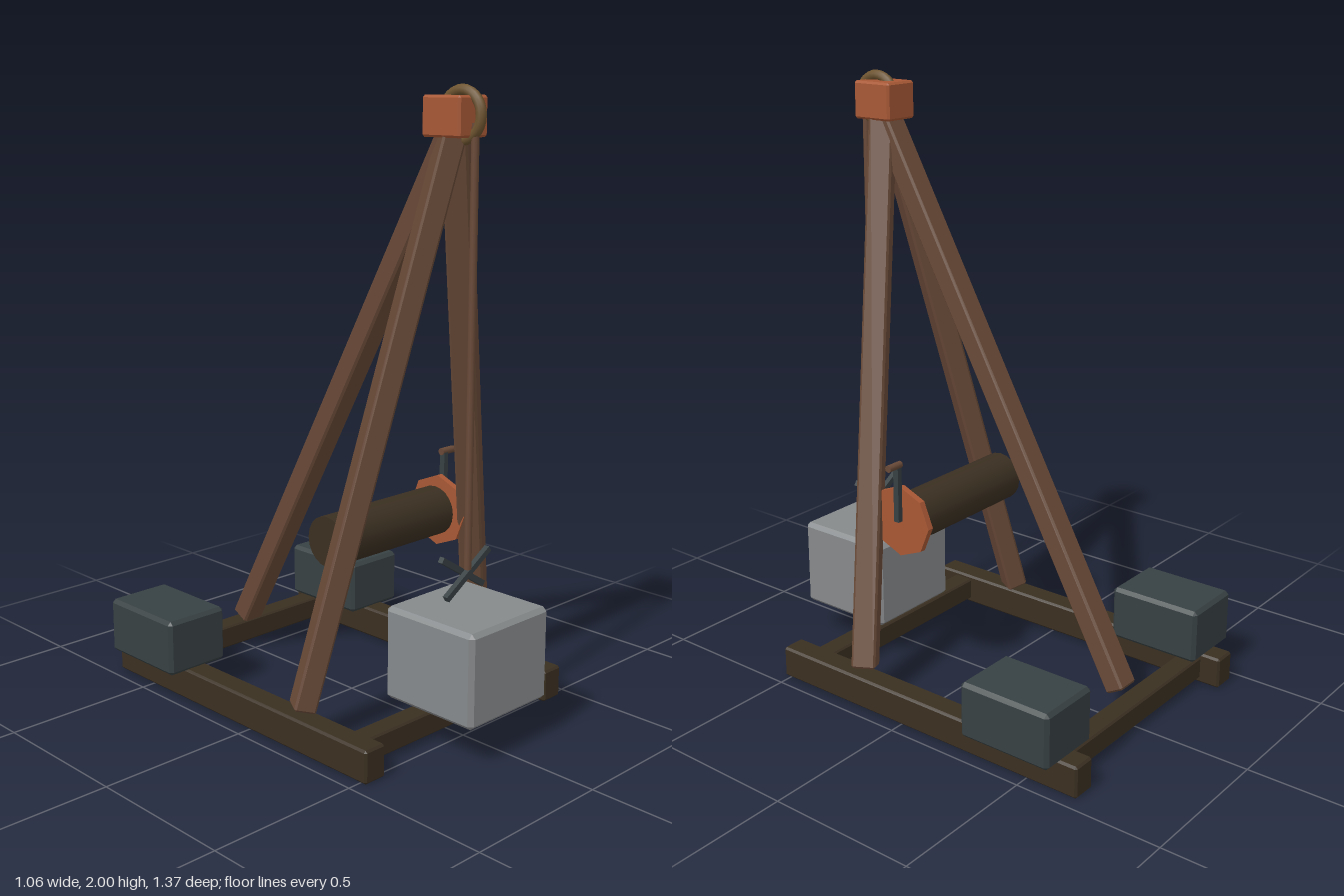
import * as THREE from 'three';
import { ConvexGeometry } from 'three/addons/geometries/ConvexGeometry.js';

function material(name, color) {
  const m = new THREE.MeshStandardMaterial({ color });
  m.name = name;
  return m;
}

// Box with flat chamfers along every edge
function chamferBox(w, h, d, c) {
  const points = [];
  for (const x of [-1, 1]) for (const y of [-1, 1]) for (const z of [-1, 1]) {
    for (let axis = 0; axis < 3; axis++) {
      const half = [w / 2, h / 2, d / 2].map((s, i) => (i === axis ? s : s - c));
      points.push(new THREE.Vector3(x * half[0], y * half[1], z * half[2]));
    }
  }
  return new ConvexGeometry(points);
}

export function createModel() {
  const darkWood = material('dark wood', 0x3a2f21);
  const legWood = material('brown wood', 0x684937);
  const copper = material('reddish brown', 0xa85835);
  const iron = material('dark iron', 0x374042);
  const stone = material('grey stone', 0x86898b);
  const brass = material('dull brass', 0x6e5430);

  const model = new THREE.Group();

  function add(name, geometry, mat, x = 0, y = 0, z = 0) {
    const mesh = new THREE.Mesh(geometry, mat);
    mesh.name = name;
    mesh.position.set(x, y, z);
    model.add(mesh);
    return mesh;
  }

  // Square beam running between two points, its sides kept level
  function beam(name, from, to, w, d) {
    const a = new THREE.Vector3(...from), b = new THREE.Vector3(...to);
    const mesh = add(name, chamferBox(w, d, a.distanceTo(b), 0.007), legWood);
    mesh.position.copy(a).lerp(b, 0.5);
    mesh.lookAt(b);
    return mesh;
  }

  // Cylinder lying along x
  function axle(name, r, length, sides, mat, x, y, z) {
    const mesh = add(name, new THREE.CylinderGeometry(r, r, length, sides), mat, x, y, z);
    mesh.rotation.z = Math.PI / 2;
    return mesh;
  }

  // Base frame, counterweights and front legs
  for (const [side, s] of [['left', 1], ['right', -1]]) {
    add(side + 'Rail', chamferBox(0.083, 0.107, 1.21, 0.007), darkWood, s * 0.415, 0.0535, -0.08);
    add(side + 'Counterweight', chamferBox(0.228, 0.185, 0.327, 0.012), iron, s * 0.414, 0.197, -0.466);
    beam(side + 'FrontLeg', [s * 0.405, 0.12, 0.197], [0, 1.9, 0.43], 0.08, 0.072);
  }
  add('frontCrossbeam', chamferBox(0.76, 0.078, 0.075, 0.006), darkWood, 0, 0.055, 0.415);
  add('backCrossbeam', chamferBox(0.76, 0.078, 0.075, 0.006), darkWood, 0, 0.055, -0.576);
  beam('backLeg', [0, 0.12, -0.54], [0, 1.9, 0.445], 0.083, 0.07);

  // Head block with its pulley ring
  add('headBlock', chamferBox(0.127, 0.12, 0.148, 0.007), copper, 0, 1.908, 0.426);
  const ring = add('pulleyRing', new THREE.TorusGeometry(0.072, 0.016, 10, 28), brass, 0, 1.912, 0.455);
  ring.rotation.y = Math.PI / 2;

  // Rope, crossed hook and hanging load
  add('rope', new THREE.CylinderGeometry(0.012, 0.012, 1.34, 10), legWood, 0, 1.22, 0.506);
  for (const s of [1, -1]) {
    const bar = add('hookBar', new THREE.BoxGeometry(0.225, 0.019, 0.018), iron, 0, 0.536, 0.494 + s * 0.011);
    bar.rotation.z = s * 0.56;
  }
  add('load', chamferBox(0.358, 0.302, 0.356, 0.014), stone, 0, 0.28, 0.507);

  // Winding drum with its octagonal wheel and crank
  axle('drum', 0.082, 0.495, 20, darkWood, -0.002, 0.608, 0.143);
  const wheel = axle('crankWheel', 0.12, 0.022, 8, copper, 0.264, 0.607, 0.147);
  wheel.geometry = wheel.geometry.toNonIndexed();
  wheel.geometry.computeVertexNormals();
  add('crankArm', new THREE.BoxGeometry(0.018, 0.19, 0.02), iron, 0.284, 0.705, 0.147);
  axle('crankHandle', 0.012, 0.058, 10, legWood, 0.3, 0.803, 0.146);

  return model;
}
